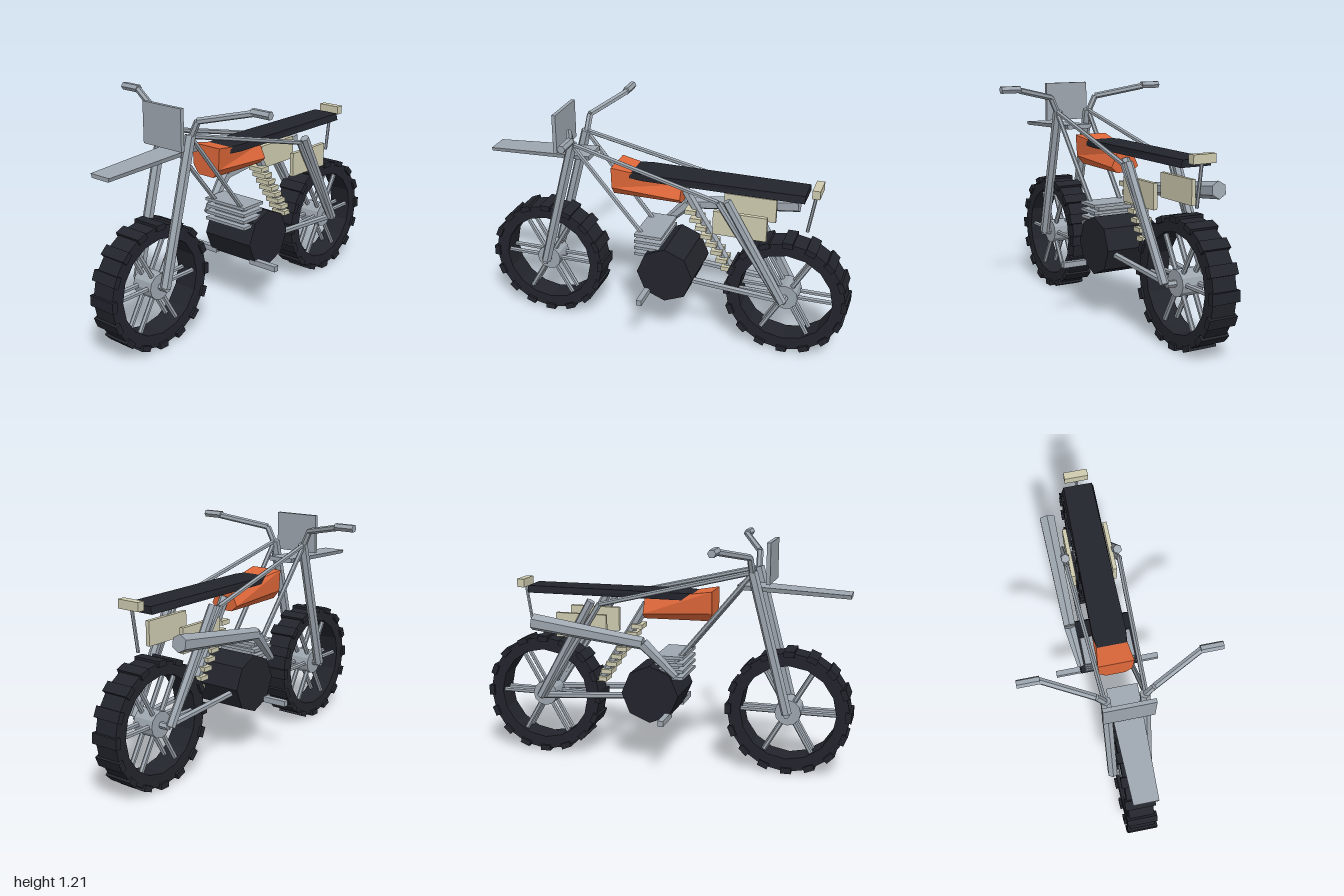
import * as THREE from 'three';

const mat = (color) => new THREE.MeshStandardMaterial({ color, flatShading: true, side: THREE.DoubleSide });

export function createModel() {
  const model = new THREE.Group();
  const steel = mat(0x9ea7b0), black = mat(0x23252d), orange = mat(0xe0683a), cream = mat(0xcfccb0);

  const add = (name, geo, material, x = 0, y = 0, z = 0, parent = model) => {
    const mesh = new THREE.Mesh(geo, material);
    mesh.name = name;
    mesh.position.set(x, y, z);
    parent.add(mesh);
    return mesh;
  };
  const box = (name, w, h, d, material, x, y, z, parent) =>
    add(name, new THREE.BoxGeometry(w, h, d), material, x, y, z, parent);

  // Straight bar between two points, optionally tapered
  const bar = (name, a, b, r0, r1 = r0, material = steel, parent = model, sides = 6) => {
    const p = new THREE.Vector3(...a), q = new THREE.Vector3(...b);
    const dir = q.clone().sub(p);
    const mesh = add(name, new THREE.CylinderGeometry(r1, r0, dir.length(), sides), material, 0, 0, 0, parent);
    mesh.position.copy(p).add(q).multiplyScalar(0.5);
    mesh.quaternion.setFromUnitVectors(new THREE.Vector3(0, 1, 0), dir.normalize());
    return mesh;
  };

  // Box whose front (+z) and back, top and bottom can differ in width and height
  const wedge = (name, front, back, zFront, zBack, material) => {
    const geo = new THREE.BoxGeometry(2, 2, 2);
    const pos = geo.attributes.position;
    for (let i = 0; i < pos.count; i++) {
      const end = pos.getZ(i) > 0 ? front : back;
      const up = pos.getY(i) > 0;
      pos.setXYZ(i, pos.getX(i) * (up ? end.topW : end.botW), up ? end.top : end.bot, pos.getZ(i) > 0 ? zFront : zBack);
    }
    geo.computeVertexNormals();
    return add(name, geo, material);
  };

  // Wheels: ring tyre, tread blocks, spokes and hub
  for (const [name, z] of [['frontWheel', 0.672], ['rearWheel', -0.672]]) {
    const wheel = new THREE.Group();
    wheel.name = name;
    wheel.position.set(0, 0.328, z);
    model.add(wheel);
    const section = [[0.25, -0.065], [0.32, -0.065], [0.32, 0.065], [0.25, 0.065], [0.25, -0.065]];
    const tyre = new THREE.LatheGeometry(section.map((p) => new THREE.Vector2(...p)), 16);
    add('tyre', tyre.rotateZ(Math.PI / 2), black, 0, 0, 0, wheel);
    for (let i = 0; i < 16; i++) {
      const a = (i / 16) * Math.PI * 2;
      const block = box('treadBlock', 0.156, 0.03, 0.055, black, 0, Math.cos(a) * 0.312, Math.sin(a) * 0.312, wheel);
      block.rotation.x = a;
    }
    for (let i = 0; i < 6; i++) {
      const a = (i / 6) * Math.PI * 2;
      for (const x of [-0.035, 0.035])
        bar('spoke', [x, 0, 0], [x, Math.sin(a) * 0.26, Math.cos(a) * 0.26], 0.013, 0.013, steel, wheel);
    }
    add('hub', new THREE.CylinderGeometry(0.068, 0.068, 0.12, 12).rotateZ(Math.PI / 2), steel, 0, 0, 0, wheel);
    bar('axle', [-0.11, 0, 0], [0.11, 0, 0], 0.018, 0.018, steel, wheel);
  }

  // Mirrored fork, frame, handlebar, panels and foot pegs
  for (const s of [-1, 1]) {
    bar('fork', [s * 0.095, 0.33, 0.672], [s * 0.095, 1.06, 0.48], 0.027);
    bar('topTube', [s * 0.1, 1.055, 0.48], [s * 0.138, 0.86, -0.32], 0.013);
    bar('rearStrut', [s * 0.138, 0.86, -0.32], [s * 0.115, 0.33, -0.655], 0.016);
    bar('rearShock', [s * 0.138, 0.875, -0.365], [s * 0.12, 0.33, -0.672], 0.024);
    bar('downTube', [s * 0.1, 1.05, 0.48], [s * 0.09, 0.55, 0.07], 0.013);
    bar('swingarm', [s * 0.1, 0.375, -0.05], [s * 0.1, 0.33, -0.672], 0.018);

    const bars = [[s * 0.1, 1.05, 0.48], [s * 0.14, 1.135, 0.475], [s * 0.385, 1.19, 0.36]];
    bar('handlebarRiser', bars[0], bars[1], 0.017);
    bar('handlebar', bars[1], bars[2], 0.017);
    bar('grip', [s * 0.38, 1.195, 0.36], [s * 0.49, 1.195, 0.36], 0.021);

    box('sidePanel', 0.022, 0.13, 0.28, cream, s * 0.11, 0.735, -0.43);
    box('footPeg', 0.17, 0.03, 0.03, steel, s * 0.205, 0.285, 0.055);
  }

  // Front plate and fender
  box('frontPlate', 0.254, 0.21, 0.02, steel, 0, 1.105, 0.565);
  wedge('frontFender', { topW: 0.062, botW: 0.055, top: 0.955, bot: 0.935 },
    { topW: 0.078, botW: 0.07, top: 0.985, bot: 0.96 }, 0.97, 0.4, steel);

  // Tank: upright sides above, narrowing underside below
  wedge('tank', { topW: 0.092, botW: 0.085, top: 0.945, bot: 0.83 },
    { topW: 0.045, botW: 0.08, top: 0.885, bot: 0.81 }, 0.272, -0.1, orange);
  wedge('tankUnderside', { topW: 0.085, botW: 0.05, top: 0.83, bot: 0.785 },
    { topW: 0.08, botW: 0.045, top: 0.81, bot: 0.78 }, 0.272, -0.1, orange);

  // Seat and tail
  wedge('seat', { topW: 0.06, botW: 0.07, top: 0.925, bot: 0.9 },
    { topW: 0.085, botW: 0.085, top: 0.93, bot: 0.893 }, 0.268, 0.1, black);
  wedge('seatRear', { topW: 0.085, botW: 0.085, top: 0.93, bot: 0.893 },
    { topW: 0.075, botW: 0.085, top: 0.93, bot: 0.893 }, 0.1, -0.745, black);
  box('tailLight', 0.126, 0.045, 0.04, cream, 0, 0.938, -0.795);
  bar('tailStay', [0, 0.92, -0.79], [0, 0.7, -0.755], 0.009);

  // Engine casing and cooling fins
  add('engine', new THREE.CylinderGeometry(0.154, 0.154, 0.31, 8).rotateZ(Math.PI / 2), black, 0, 0.395, -0.042);
  for (let i = 0; i < 4; i++) box('coolingFin', 0.27, 0.016, 0.15, steel, 0, 0.488 + i * 0.036, 0.058);
  box('cylinderBlock', 0.2, 0.12, 0.1, steel, 0, 0.53, 0.05);

  // Exhaust on the right side
  bar('exhaustPipe', [-0.155, 0.505, 0.1], [-0.178, 0.675, -0.07], 0.02, 0.034);
  bar('muffler', [-0.178, 0.675, -0.07], [-0.185, 0.757, -0.675], 0.034, 0.045);

  // Central damper with spring coils
  bar('damper', [0, 0.85, -0.1], [0, 0.42, -0.36], 0.025);
  for (let i = 0; i < 8; i++)
    box('springCoil', 0.088, 0.024, 0.06, cream, 0, 0.73 - i * 0.043, -0.145 - i * 0.029);

  return model;
}
